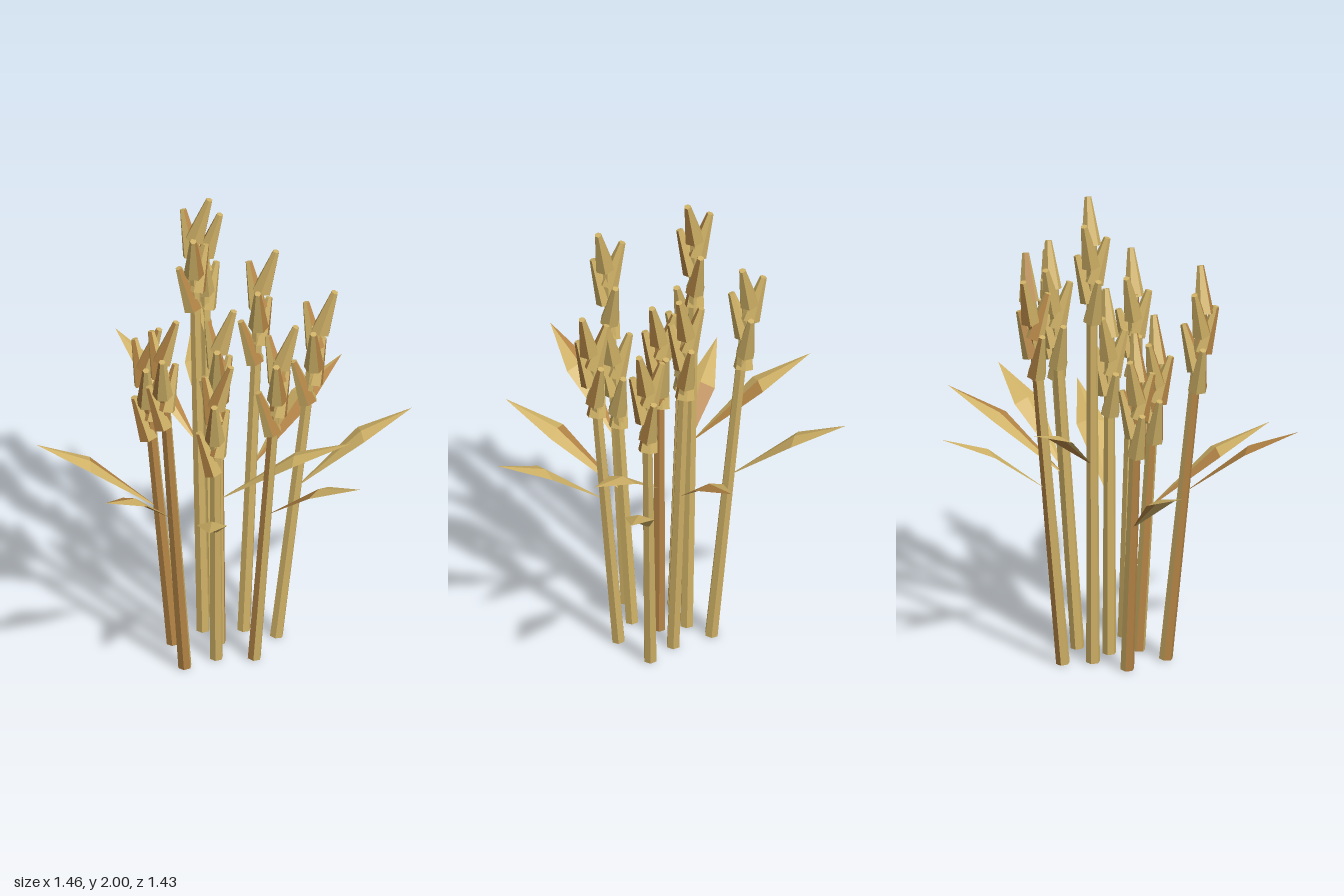
import * as THREE from 'three';

const material = (name, color, side = THREE.FrontSide) =>
  Object.assign(new THREE.MeshStandardMaterial({ color, side, flatShading: true }), { name });

// Stalks: foot [x, z], head [x, z], height, leaf tip [x, y, z],
// brown stem sides [first, count], brown leaf faces, heading of the brown grain sides in degrees
const STALKS = [
  { foot: [-0.01, 0.02], head: [-0.015, 0.02], height: 1.55, tip: [0.53, 0.97, 0.02], stemBrown: [1, 2], leafBrown: 0, grainBrown: 60 },
  { foot: [-0.07, -0.185], head: [-0.115, -0.325], height: 1.78, tip: [-0.21, 1.07, -0.72], stemBrown: [3, 1], leafBrown: 0, grainBrown: 240 },
  { foot: [0.075, -0.09], head: [0.125, -0.175], height: 1.72, tip: [0.41, 1.04, -0.54], stemBrown: [0, 0], leafBrown: 2, grainBrown: 60 },
  { foot: [0.21, -0.06], head: [0.36, -0.125], height: 1.58, tip: [0.73, 0.985, -0.255], stemBrown: [0, 0], leafBrown: 0, grainBrown: 60 },
  { foot: [0.145, 0.12], head: [0.25, 0.185], height: 1.6, tip: [0.61, 0.995, 0.415], stemBrown: [5, 1], leafBrown: 1, grainBrown: 60 },
  { foot: [-0.005, 0.14], head: [0, 0.215], height: 1.41, tip: [0.04, 0.91, 0.69], stemBrown: [4, 1], leafBrown: 1, grainBrown: 330 },
  { foot: [-0.12, 0.225], head: [-0.195, 0.355], height: 1.69, tip: [-0.375, 1.03, 0.71], stemBrown: [4, 3], leafBrown: 2, grainBrown: 330 },
  { foot: [-0.19, 0.05], head: [-0.3, 0.065], height: 1.47, tip: [-0.73, 0.935, 0.145], stemBrown: [4, 3], leafBrown: 1, grainBrown: 330 },
  { foot: [-0.085, -0.065], head: [-0.125, -0.08], height: 2.0, tip: [-0.485, 1.165, -0.41], stemBrown: [0, 0], leafBrown: 1, grainBrown: 60 },
];
const GRAINS = 5;
const GOLDEN_ANGLE = 137.5;

// Six-sided tapered prism with a few neighbouring sides in the second material
function prism(topRadius, bottomRadius, length, firstBrown, brownCount) {
  const geometry = new THREE.CylinderGeometry(topRadius, bottomRadius, length, 6);
  geometry.clearGroups();
  for (let side = 0; side < 6; side++) {
    const isBrown = (side - firstBrown + 6) % 6 < brownCount;
    geometry.addGroup(side * 6, 6, isBrown ? 1 : 0);
  }
  geometry.addGroup(36, 36, 0); // both end caps
  return geometry;
}

// Folded pointed blade running along +x, with a raised midrib; the first faces may be brown
function leafGeometry(length, rise, brownFaces) {
  const root = [0, 0, 0];
  const rib = [length * 0.56, rise * 0.7 + 0.012, 0];
  const right = [length * 0.56, rise * 0.7 - 0.006, 0.061];
  const left = [length * 0.56, rise * 0.7 - 0.006, -0.061];
  const tip = [length, rise, 0];
  const faces = [root, right, rib, rib, right, tip, root, rib, left, rib, tip, left];
  const geometry = new THREE.BufferGeometry();
  geometry.setAttribute('position', new THREE.Float32BufferAttribute(faces.flat(), 3));
  geometry.computeVertexNormals();
  for (let face = 0; face < 4; face++) geometry.addGroup(face * 3, 3, face < brownFaces ? 1 : 0);
  return geometry;
}

export function createModel() {
  const model = new THREE.Group();
  model.name = 'grainStalks';
  const straw = material('straw', 0xcfb166);
  const brown = material('brownStraw', 0xb58546);
  const leafStraw = material('leafStraw', 0xcfb166, THREE.DoubleSide);
  const leafBrownStraw = material('leafBrownStraw', 0xb58546, THREE.DoubleSide);
  const up = new THREE.Vector3(0, 1, 0);

  STALKS.forEach(({ foot, head, height, tip, stemBrown, leafBrown, grainBrown }, s) => {
    const stalk = new THREE.Group();
    stalk.name = `stalk${s + 1}`;
    model.add(stalk);

    // Point on the leaning stem axis at a given height
    const axisAt = (y) => {
      const t = y / (height - 0.2);
      return new THREE.Vector3(
        THREE.MathUtils.lerp(foot[0], head[0], t), y, THREE.MathUtils.lerp(foot[1], head[1], t));
    };

    // Leaning stem
    const start = axisAt(0);
    const span = axisAt(height - 0.17).sub(start);
    const stem = new THREE.Mesh(prism(0.021, 0.028, span.length(), ...stemBrown), [straw, brown]);
    stem.name = 'stem';
    stem.position.copy(start).addScaledVector(span, 0.5);
    stem.quaternion.setFromUnitVectors(up, span.clone().normalize());
    stalk.add(stem);

    // Ear: grains spiralling down the top of the stem
    const ear = new THREE.Group();
    ear.name = 'ear';
    stalk.add(ear);
    for (let i = 0; i < GRAINS; i++) {
      const turn = i * GOLDEN_ANGLE;
      const angle = THREE.MathUtils.degToRad(turn);
      const brownSide = Math.floor(THREE.MathUtils.euclideanModulo(grainBrown - turn, 360) / 60);
      const grain = new THREE.Mesh(prism(0.014, 0.041, 0.195, brownSide, 1), [straw, brown]);
      grain.name = 'grain';
      grain.position.copy(axisAt(height - 0.098 - i * 0.08));
      grain.position.x += Math.cos(angle) * 0.036;
      grain.position.z -= Math.sin(angle) * 0.036;
      grain.rotation.set(0, angle, -0.3, 'YXZ');
      ear.add(grain);
    }

    // Leaf growing outward from the stem
    const root = axisAt(tip[1] - 0.31);
    const dx = tip[0] - root.x;
    const dz = tip[2] - root.z;
    const leaf = new THREE.Mesh(
      leafGeometry(Math.hypot(dx, dz), 0.31, leafBrown), [leafStraw, leafBrownStraw]);
    leaf.name = 'leaf';
    leaf.position.copy(root);
    leaf.rotation.y = Math.atan2(-dz, dx);
    stalk.add(leaf);
  });
  return model;
}
